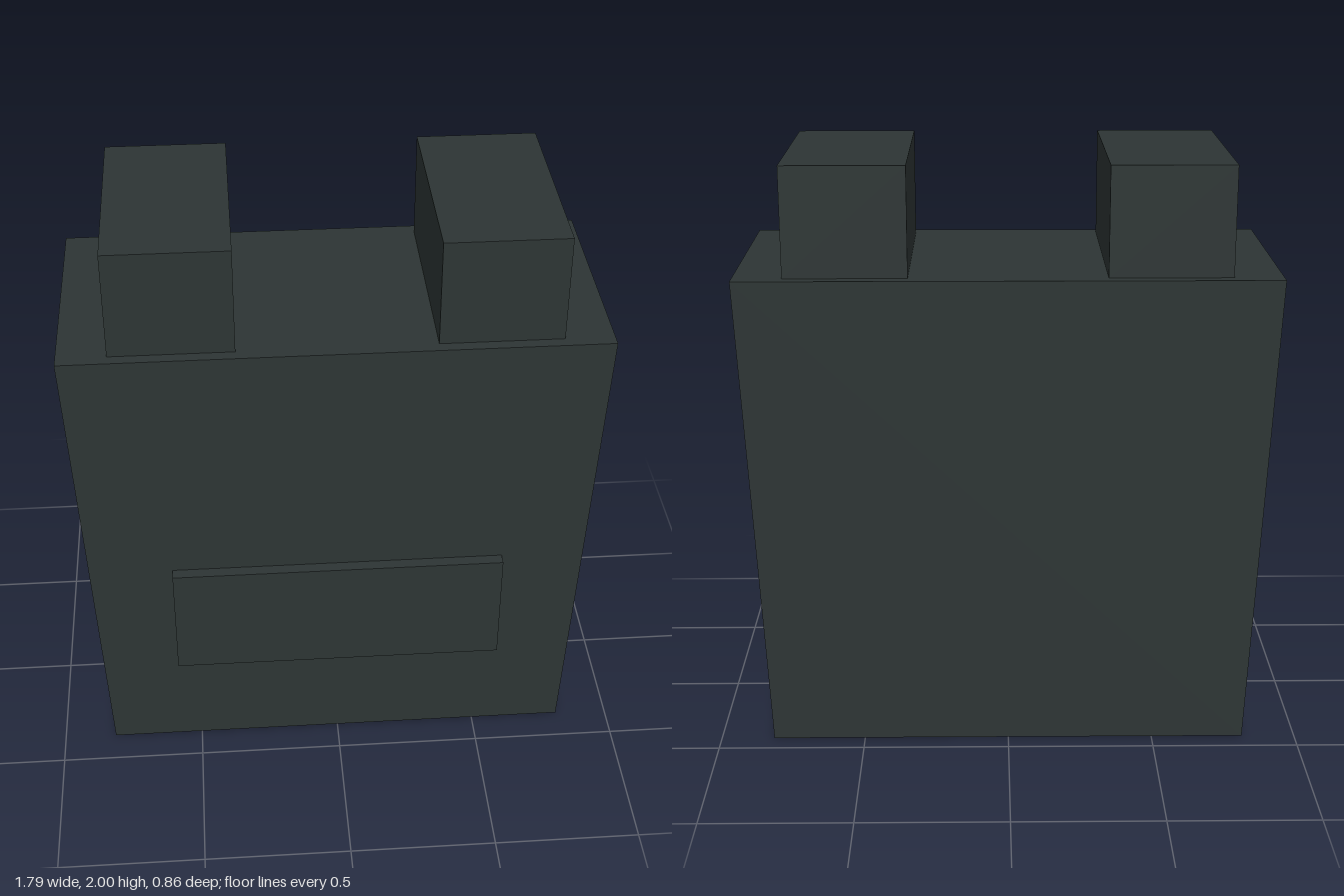
import * as THREE from 'three';

export function createModel() {
  const model = new THREE.Group();
  model.name = 'pack';
  const darkCloth = new THREE.MeshStandardMaterial({ color: 0x2d3534 });
  darkCloth.name = 'darkCloth';

  const add = (name, geometry, x, y, z) => {
    const mesh = new THREE.Mesh(geometry, darkCloth);
    mesh.name = name;
    mesh.position.set(x, y, z);
    model.add(mesh);
  };

  // Main body: a trapezoid, wider at the top
  const height = 1.633, back = -0.428, front = 0.387;
  const outline = new THREE.Shape([
    new THREE.Vector2(-0.817, 0),
    new THREE.Vector2(0.817, 0),
    new THREE.Vector2(0.897, height),
    new THREE.Vector2(-0.897, height),
  ]);
  add('body', new THREE.ExtrudeGeometry(outline, { depth: front - back, bevelEnabled: false }), 0, 0, back);

  // Two blocks on top, mirrored
  const blockHeight = 2 - height;
  for (const [name, side] of [['leftTopBlock', 1], ['rightTopBlock', -1]]) {
    add(name, new THREE.BoxGeometry(0.408, blockHeight, 0.734), side * 0.53, height + blockHeight / 2, -0.02);
  }

  // Raised panel low on the front
  add('frontPanel', new THREE.BoxGeometry(1.14, 0.408, 0.041), 0, 0.572, front + 0.0205);

  return model;
}
